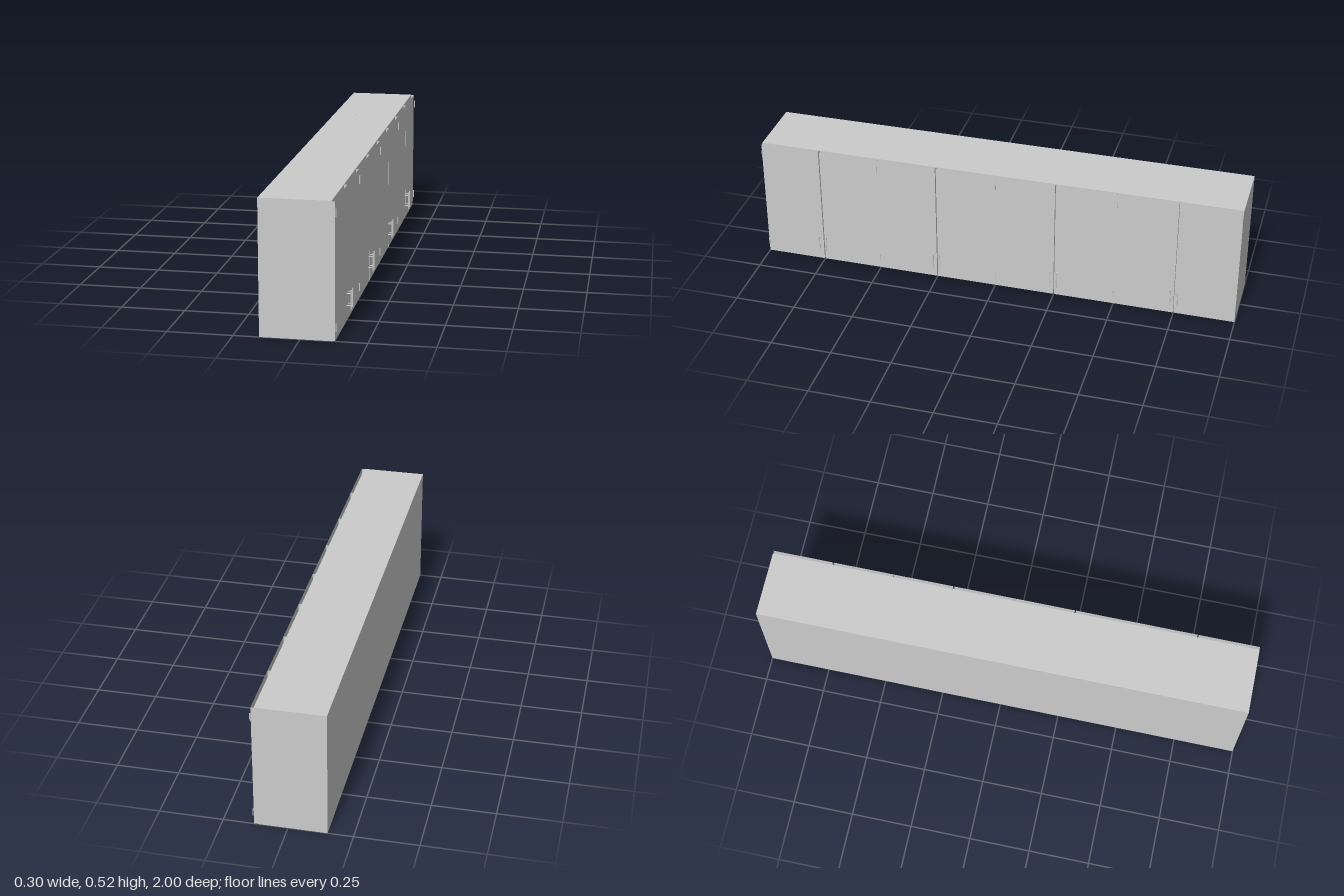
import * as THREE from 'three';

const H = 0.524, BACK = -0.152, BODY_FRONT = 0.118, DOOR_FRONT = 0.13;
const grey = new THREE.MeshStandardMaterial({ color: 0xcccccc });
const thin = new THREE.MeshStandardMaterial({ color: 0xcccccc, side: THREE.DoubleSide });

function add(parent, name, geometry, x, y, z, material = grey) {
  const mesh = new THREE.Mesh(geometry, material);
  mesh.name = name;
  mesh.position.set(x, y, z);
  parent.add(mesh);
  return mesh;
}

// Door skin: a shallow box left open along its top and bottom edges
function doorGeometry(depth, height, width) {
  const g = new THREE.BoxGeometry(depth, height, width);
  const index = Array.from(g.index.array);
  index.splice(12, 12);
  g.setIndex(index);
  g.clearGroups();
  return g;
}

// Bar handle standing off the door on two posts
function makeHandle(z) {
  const handle = new THREE.Group();
  handle.name = 'handle';
  add(handle, 'handleBar', new THREE.CylinderGeometry(0.0025, 0.0025, 0.075, 16), 0.1475, 0.0845, z);
  for (const y of [0.061, 0.108]) {
    const post = add(handle, 'handlePost', new THREE.CylinderGeometry(0.002, 0.002, 0.0175, 12), 0.13875, y, z);
    post.rotation.z = Math.PI / 2;
  }
  return handle;
}

export function createModel() {
  const model = new THREE.Group();
  model.name = 'wallCabinet';

  // Carcass
  const depth = BODY_FRONT - BACK;
  add(model, 'carcass', new THREE.BoxGeometry(depth, H, 2), (BACK + BODY_FRONT) / 2, H / 2, 0);

  // Four pairs of doors meeting at a narrow gap, with handles beside it
  const gap = 0.004, doorDepth = DOOR_FRONT - BODY_FRONT;
  const width = 0.25 - gap / 2;
  const door = doorGeometry(doorDepth, H - 0.002, width);
  for (const centre of [-0.75, -0.25, 0.25, 0.75]) {
    for (const side of [-1, 1]) {
      add(model, 'door', door, BODY_FRONT + doorDepth / 2, H / 2, centre + side * (gap / 2 + width / 2), thin);
      model.add(makeHandle(centre + side * 0.0145));
    }
  }

  // Hinge barrels at the outer edge of every door
  const barrel = new THREE.CylinderGeometry(0.0022, 0.0022, 0.031, 16);
  for (const z of [-0.998, -0.5, 0, 0.5, 0.998]) {
    for (const y of [0.052, 0.481]) add(model, 'hinge', barrel, 0.1335, y, z);
  }

  // Tiny fixings over the partitions, top and bottom
  const pin = new THREE.CylinderGeometry(0.0014, 0.0014, 0.0006, 8);
  for (const z of [-0.5, 0, 0.5]) {
    for (let i = 0; i < 4; i++) {
      const x = BACK + depth * (0.083 + i * 0.267);
      for (const y of [0.0003, H]) add(model, 'fixing', pin, x, y, z);
    }
  }
  return model;
}
